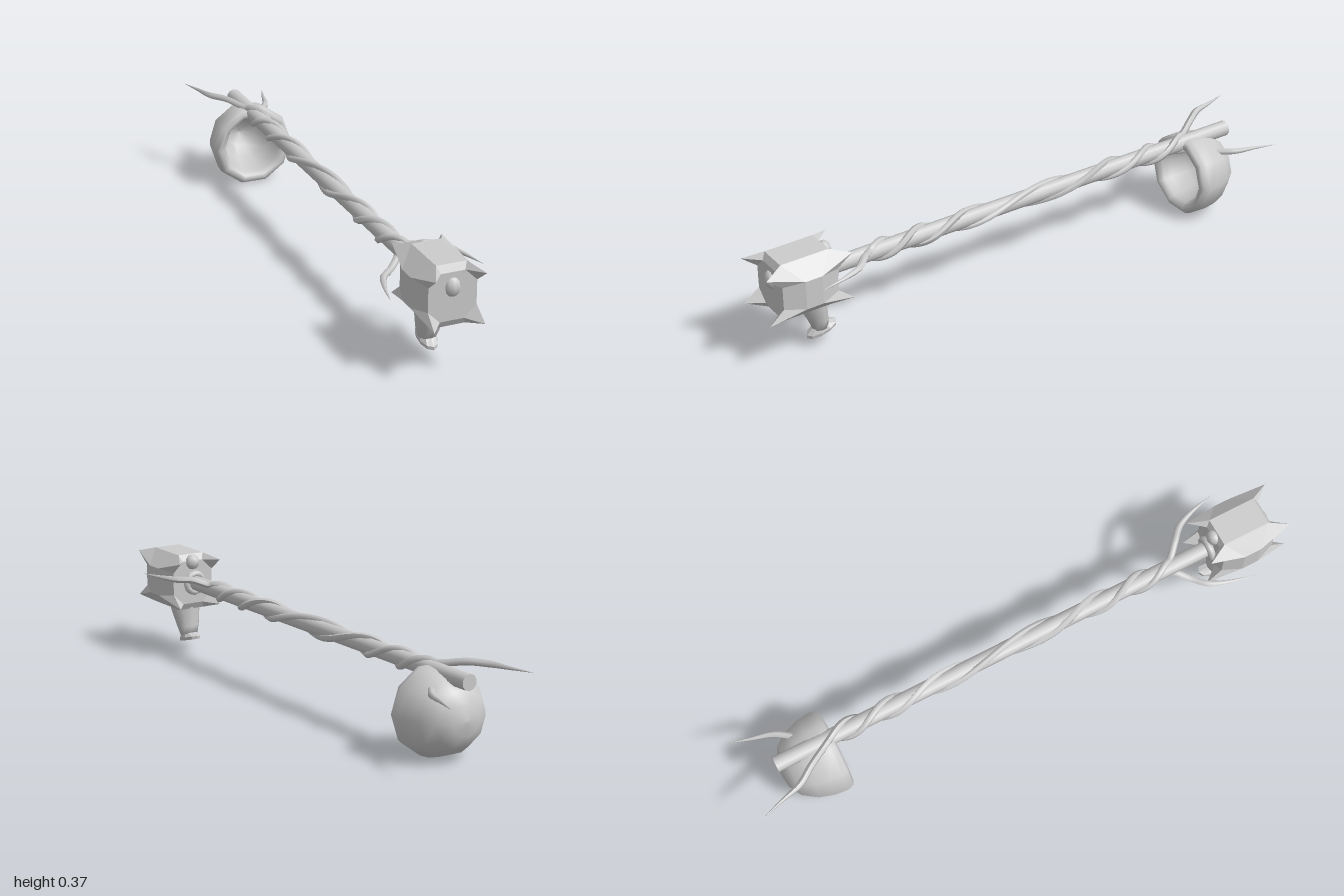
import * as THREE from 'three';
import { ConvexGeometry } from 'three/addons/geometries/ConvexGeometry.js';

const AXIS_Y = 0.268;
const V = (x, y, z) => new THREE.Vector3(x, y, z);
const smooth = new THREE.MeshStandardMaterial({ color: 0xcccccc, side: THREE.DoubleSide });
const faceted = new THREE.MeshStandardMaterial({ color: 0xcccccc, flatShading: true, side: THREE.DoubleSide });

function add(parent, name, geometry, material = smooth) {
  const mesh = new THREE.Mesh(geometry, material);
  mesh.name = name;
  parent.add(mesh);
  return mesh;
}

// Tube whose thickness follows radiusAt(t, z)
function taperedTube(points, segments, sides, radiusAt) {
  const curve = new THREE.CatmullRomCurve3(points);
  const geo = new THREE.TubeGeometry(curve, segments, 1, sides, false);
  const pos = geo.attributes.position, p = V(0, 0, 0);
  for (let i = 0; i <= segments; i++) {
    const c = curve.getPointAt(i / segments), r = radiusAt(i / segments, c.z);
    for (let j = 0; j <= sides; j++) {
      const k = i * (sides + 1) + j;
      p.fromBufferAttribute(pos, k).sub(c).multiplyScalar(r).add(c);
      pos.setXYZ(k, p.x, p.y, p.z);
    }
  }
  geo.computeVertexNormals();
  return geo;
}

// Closed skin through elliptical rings [y, z centre, x radius, z radius, tilt]
function ringSkin(rings, sides) {
  const pos = [], index = [];
  for (const [y, cz, rx, rz, tilt] of rings) {
    for (let j = 0; j < sides; j++) {
      const a = (j / sides) * Math.PI * 2, s = Math.cos(a) * rz;
      pos.push(Math.sin(a) * rx, y - s * tilt, cz + s);
    }
  }
  for (let i = 0; i < rings.length - 1; i++) {
    for (let j = 0; j < sides; j++) {
      const k = (j + 1) % sides, a = i * sides + j, b = i * sides + k;
      index.push(a, a + sides, b, b, a + sides, b + sides);
    }
  }
  const last = (rings.length - 1) * sides;
  for (let j = 1; j < sides - 1; j++) index.push(last, last + j + 1, last + j);
  const geo = new THREE.BufferGeometry();
  geo.setAttribute('position', new THREE.Float32BufferAttribute(pos, 3));
  geo.setIndex(index);
  geo.computeVertexNormals();
  return geo;
}

function buildHead() {
  const head = new THREE.Group();
  head.name = 'head';
  const block = new THREE.Group();
  block.name = 'spikedBlock';
  block.position.set(0, AXIS_Y, 0.848);
  head.add(block);

  // Chamfered block, with one spike drawn out of each corner
  const corner = [[0.05, 0.102, 0.085], [0.105, 0.05, 0.03], [0.04, 0.079, 0.098], [0.08, 0.04, 0.098]];
  const tip = [0.083, 0.083, 0.152];
  const core = [];
  for (const sx of [-1, 1]) for (const sy of [-1, 1]) for (const sz of [-1, 1]) {
    const place = ([x, y, z]) => V(x * sx, y * sy, z * sz);
    const base = corner.map(place);
    core.push(...base);
    add(block, 'cornerSpike', new ConvexGeometry([...base, place(tip)]), faceted);
  }
  add(block, 'block', new ConvexGeometry(core), faceted);

  // Rounded studs on the front and the upper back
  for (const [y, z] of [[0.298, 0.94], [0.342, 0.752]]) {
    const stud = add(head, 'stud', new THREE.SphereGeometry(1, 8, 6));
    stud.scale.set(0.028, y < 0.3 ? 0.033 : 0.028, 0.024);
    stud.position.set(0, y, z);
  }

  const collar = add(head, 'collar', new THREE.TorusGeometry(0.033, 0.013, 6, 12));
  collar.position.set(0, AXIS_Y, 0.735);

  // Tapered stem ending in a tilted lip
  add(head, 'stem', ringSkin([
    [0.19, 0.808, 0.057, 0.05, 0],
    [0.16, 0.807, 0.054, 0.047, 0],
    [0.10, 0.79, 0.042, 0.034, 0],
    [0.065, 0.783, 0.032, 0.026, 0.15],
  ], 10));
  add(head, 'stemLip', ringSkin([
    [0.072, 0.782, 0.026, 0.024, 0.2],
    [0.057, 0.776, 0.031, 0.054, 0.25],
    [0.046, 0.776, 0.028, 0.054, 0.25],
  ], 10), faceted);
  return head;
}

function buildBowl() {
  // Inner wall, thick rounded rim, then outer shell
  const profile = [
    [0, 0.165], [0.05, 0.15], [0.085, 0.105], [0.103, 0.045], [0.108, 0.018],
    [0.118, 0.003], [0.132, 0], [0.144, 0.008], [0.15, 0.03],
    [0.145, 0.075], [0.128, 0.125], [0.095, 0.17], [0.05, 0.195], [0, 0.202],
  ].map(([r, d]) => new THREE.Vector2(r, d));
  const geo = new THREE.LatheGeometry(profile, 10, Math.PI / 10);
  geo.rotateX(-Math.PI / 2);
  return geo;
}

export function createModel() {
  const model = new THREE.Group();
  model.name = 'staff';

  const shaft = add(model, 'shaft', new THREE.CylinderGeometry(0.027, 0.027, 1.64, 10));
  shaft.rotation.x = Math.PI / 2;
  shaft.position.set(0, AXIS_Y, -0.06);

  // Vine: rear horn, helix along the shaft (slower in the middle), front horn
  const path = [V(-0.152, 0.033, -0.99), V(-0.128, 0.033, -0.91), V(-0.108, 0.033, -0.84), V(-0.068, 0.033, -0.78)];
  const steps = 64;
  for (let i = 0; i <= steps; i++) {
    const u = i / steps;
    const turn = u + 0.07 * Math.sin(u * Math.PI * 2);
    const a = Math.PI * (0.75 - 6.5 * turn);
    path.push(V(Math.cos(a) * 0.026, Math.sin(a) * 0.026, -0.7 + 1.3 * u));
  }
  path.push(V(0.06, 0.033, 0.642), V(0.103, 0.033, 0.685), V(0.13, 0.033, 0.75), V(0.152, 0.033, 0.84));
  const radiusAt = (t, z) => {
    const toTip = Math.min(z + 0.99, 0.84 - z);
    return 0.0005 + 0.0115 * Math.min(1, Math.max(0, toTip) / 0.16);
  };
  const vine = taperedTube(path, 260, 6, radiusAt);
  for (const half of [0, 1]) {
    const mesh = add(model, 'vine', vine);
    mesh.position.y = AXIS_Y;
    mesh.rotation.z = half * Math.PI;
  }

  const bowl = add(model, 'bowl', buildBowl());
  bowl.position.set(0, 0.143, -0.672);

  model.add(buildHead());
  return model;
}
